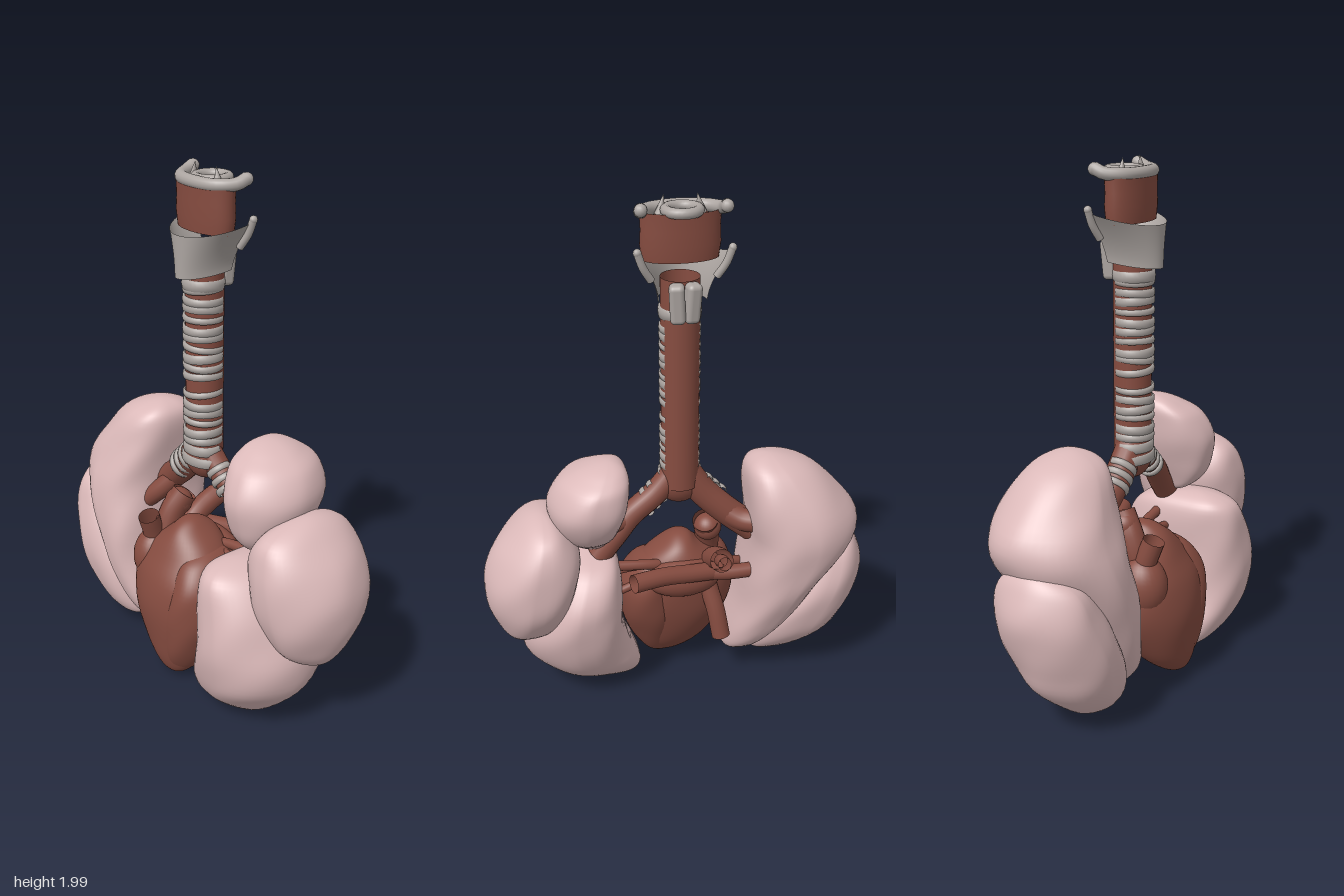
import * as THREE from 'three';
import { mergeVertices } from 'three/addons/utils/BufferGeometryUtils.js';
import { RoundedBoxGeometry } from 'three/addons/geometries/RoundedBoxGeometry.js';

const V = (x, y, z) => new THREE.Vector3(x, y, z);
const mat = (name, color) => {
  const m = new THREE.MeshStandardMaterial({ color, side: THREE.DoubleSide });
  m.name = name;
  return m;
};

// Smooth closed body through rows of [y, xMin, xMax, zMin, zMax], bottom to top.
// Squared half widths are interpolated so that the ends come out round.
// flatSide (+1 or -1) is the x side with a flatter face; the other side is more pointed.
function blob(rows, flatSide = 0, bump = 0.02) {
  const centre = new THREE.CatmullRomCurve3(rows.map(([y, a, b, c, d]) => V((a + b) / 2, y, (c + d) / 2)), false, 'catmullrom');
  const size = new THREE.CatmullRomCurve3(rows.map(([, a, b, c, d]) => V(((b - a) / 2) ** 2, 0, ((d - c) / 2) ** 2)), false, 'catmullrom');
  const n = 44, m = 48, pos = [], idx = [];
  const curve = (v, power) => Math.sign(v) * Math.abs(v) ** (2 / power);
  for (let i = 0; i <= n; i++) {
    const t = (1 - Math.cos((Math.PI * i) / n)) / 2;
    const c = centre.getPoint(t), s = size.getPoint(t);
    const end = i === 0 || i === n;
    const hx = end ? 0 : Math.sqrt(Math.max(s.x, 0)), hz = end ? 0 : Math.sqrt(Math.max(s.z, 0));
    for (let j = 0; j < m; j++) {
      const a = (j / m) * Math.PI * 2;
      const k = 1 + bump * Math.sin(3 * a + c.y * 9) * Math.sin(c.y * 14 + 2 * a);
      const power = 2.05 + flatSide * Math.sign(Math.cos(a)) * (Math.cos(a) * flatSide > 0 ? 0.95 : 0.22);
      pos.push(c.x + hx * k * curve(Math.cos(a), power), c.y, c.z + hz * k * curve(Math.sin(a), power));
      if (i < n) {
        const p = i * m + j, q = i * m + ((j + 1) % m);
        idx.push(p, p + m, q, q, p + m, q + m);
      }
    }
  }
  let g = new THREE.BufferGeometry();
  g.setAttribute('position', new THREE.Float32BufferAttribute(pos, 3));
  g.setIndex(idx);
  g = mergeVertices(g, 1e-5);
  g.computeVertexNormals();
  return g;
}

const tube = (points, r) =>
  new THREE.TubeGeometry(new THREE.CatmullRomCurve3(points.map((p) => V(...p))), 28, r, 16, false);

// Raised band, open at the back, with a soft edge.
function band(r, h, half = 2.3) {
  const p = [[r - 0.006, -h], [r + 0.002, -h * 0.88], [r + 0.004, 0], [r + 0.002, h * 0.88], [r - 0.006, h]];
  return new THREE.LatheGeometry(p.map(([x, y]) => new THREE.Vector2(x, y)), 28, -half, half * 2);
}

export function createModel() {
  const model = new THREE.Group();
  const pink = mat('lung pink', 0xdbb9b9);
  const flesh = mat('muscle brown', 0x864c40);
  const gristle = mat('cartilage grey', 0xaca5a1);
  const add = (name, geo, material, parent = model) => {
    const mesh = new THREE.Mesh(geo, material);
    mesh.name = name;
    parent.add(mesh);
    return mesh;
  };

  // Right lung: an inner upper lobe and an outer lower lobe
  add('rightUpperLobe', blob([
    [0.07, -0.28, -0.28, 0.05, 0.05], [0.1, -0.35, -0.2, -0.04, 0.12], [0.2, -0.41, -0.215, -0.14, 0.18],
    [0.35, -0.5, -0.25, -0.22, 0.21], [0.5, -0.59, -0.265, -0.27, 0.22], [0.65, -0.69, -0.28, -0.295, 0.2],
    [0.75, -0.7, -0.27, -0.29, 0.17], [0.85, -0.63, -0.26, -0.26, 0.13], [0.95, -0.53, -0.26, -0.2, 0.08],
    [1.01, -0.35, -0.35, -0.06, -0.06]], 1), pink);
  add('rightLowerLobe', blob([
    [0.04, -0.4, -0.4, 0.06, 0.06], [0.08, -0.54, -0.31, -0.04, 0.15], [0.2, -0.67, -0.33, -0.15, 0.2],
    [0.3, -0.71, -0.37, -0.195, 0.215], [0.4, -0.74, -0.42, -0.215, 0.21], [0.5, -0.755, -0.47, -0.21, 0.19],
    [0.6, -0.725, -0.54, -0.18, 0.15], [0.67, -0.65, -0.65, -0.02, -0.02]], 1), pink);

  // Left lung: upper, outer and lower lobes
  add('leftUpperLobe', blob([
    [0.65, 0.32, 0.32, 0, 0], [0.7, 0.27, 0.43, -0.1, 0.1], [0.78, 0.24, 0.48, -0.2, 0.14],
    [0.88, 0.21, 0.5, -0.25, 0.15], [0.97, 0.2, 0.46, -0.24, 0.11], [1.02, 0.205, 0.39, -0.19, 0.04],
    [1.055, 0.27, 0.27, -0.08, -0.08]], -1), pink);
  add('leftOuterLobe', blob([
    [0.305, 0.63, 0.63, -0.03, -0.03], [0.34, 0.54, 0.69, -0.13, 0.08], [0.4, 0.48, 0.72, -0.2, 0.14],
    [0.5, 0.43, 0.75, -0.255, 0.18], [0.6, 0.4, 0.75, -0.27, 0.19], [0.7, 0.39, 0.71, -0.26, 0.185],
    [0.79, 0.43, 0.63, -0.22, 0.15], [0.85, 0.52, 0.52, -0.05, -0.05]], -1), pink);
  add('leftLowerLobe', blob([
    [0.005, 0.29, 0.29, 0.08, 0.08], [0.04, 0.14, 0.46, -0.03, 0.19], [0.12, 0.155, 0.55, -0.12, 0.25],
    [0.2, 0.19, 0.61, -0.17, 0.28], [0.3, 0.215, 0.625, -0.21, 0.295], [0.4, 0.225, 0.6, -0.23, 0.295],
    [0.5, 0.225, 0.56, -0.22, 0.285], [0.6, 0.235, 0.48, -0.15, 0.262], [0.655, 0.33, 0.33, 0.1, 0.1]], -1), pink);

  // Heart: a main body, a low ridge for the second chamber and two atria
  const heart = new THREE.Group();
  heart.name = 'heart';
  model.add(heart);
  add('heartBody', blob([
    [0.01, 0.03, 0.03, 0.17, 0.17], [0.06, -0.08, 0.11, 0.07, 0.23], [0.15, -0.165, 0.16, 0, 0.25],
    [0.3, -0.24, 0.205, -0.06, 0.265], [0.42, -0.25, 0.205, -0.08, 0.245], [0.51, -0.21, 0.15, -0.08, 0.2],
    [0.59, -0.11, 0.07, -0.05, 0.15], [0.645, -0.03, -0.03, 0.05, 0.05]], 0, 0.01), flesh, heart);
  add('leftVentricle', blob([
    [0.02, 0.04, 0.04, 0.15, 0.15], [0.07, -0.02, 0.12, 0.06, 0.22], [0.17, -0.03, 0.175, 0, 0.245],
    [0.3, -0.02, 0.215, -0.06, 0.25], [0.42, 0.0, 0.22, -0.08, 0.23], [0.51, 0.02, 0.17, -0.06, 0.18],
    [0.56, 0.08, 0.08, 0.04, 0.04]]), flesh, heart);
  for (const [name, size, at] of [
    ['rightAtrium', [0.09, 0.12, 0.1], [-0.16, 0.44, 0.12]],
    ['leftAtrium', [0.15, 0.08, 0.075], [-0.02, 0.49, -0.05]],
    ['vesselKnob', [0.055, 0.055, 0.055], [-0.135, 0.66, 0.03]],
  ]) {
    const part = add(name, new THREE.SphereGeometry(1, 28, 20), flesh, heart);
    part.scale.set(...size);
    part.position.set(...at);
  }

  // Great vessels and lung vessels
  const vessels = [
    ['aorta', 0.05, [-0.1, 0.42, 0.1], [-0.14, 0.53, 0.09], [-0.14, 0.62, 0.06], [-0.12, 0.7, 0.01]],
    ['frontVessel', 0.042, [-0.15, 0.4, 0.11], [-0.16, 0.52, 0.13], [-0.152, 0.63, 0.165]],
    ['upperVein', 0.045, [-0.13, 0.48, 0.02], [-0.14, 0.56, -0.05], [-0.145, 0.6, -0.12], [-0.145, 0.62, -0.17]],
    ['upperVeinEnd', 0.026, [-0.145, 0.61, -0.15], [-0.143, 0.63, -0.19], [-0.142, 0.64, -0.225]],
    ['lowerVein', 0.037, [-0.12, 0.44, -0.05], [-0.145, 0.34, -0.08], [-0.165, 0.22, -0.1]],
    ['lungArtery', 0.036, [-0.16, 0.52, -0.08], [-0.04, 0.54, -0.11], [0.08, 0.56, -0.14], [0.2, 0.57, -0.18]],
    ['leftUpperVein', 0.02, [0, 0.52, 0], [0.1, 0.55, -0.03], [0.26, 0.57, -0.04]],
    ['leftMiddleVein', 0.016, [0, 0.5, 0], [0.12, 0.53, 0], [0.27, 0.51, 0.01]],
    ['leftLowerVein', 0.016, [0, 0.5, -0.05], [0.12, 0.52, -0.08], [0.25, 0.49, -0.1]],
    ['rightUpperArtery', 0.03, [-0.08, 0.53, -0.09], [-0.18, 0.52, -0.1], [-0.29, 0.52, -0.1]],
    ['rightMiddleVein', 0.02, [-0.1, 0.5, 0], [-0.2, 0.5, 0.01], [-0.29, 0.48, 0.03]],
  ];
  for (const [name, r, ...pts] of vessels) add(name, tube(pts, r), flesh, heart);

  // Windpipe and its two branches
  const windpipe = new THREE.Group();
  windpipe.name = 'windpipe';
  windpipe.position.x = -0.015;
  model.add(windpipe);
  const wall = add('windpipeWall', new THREE.CylinderGeometry(0.071, 0.071, 0.82, 32, 1, true), flesh, windpipe);
  wall.position.set(0, 1.3, -0.006);
  const fork = add('windpipeFork', new THREE.SphereGeometry(1, 28, 18), flesh, windpipe);
  fork.scale.set(0.09, 0.09, 0.065);
  fork.position.y = 0.9;
  const branches = [
    ['rightBronchus', 0.056, [-0.03, 0.95, 0], [-0.1, 0.85, -0.01], [-0.18, 0.77, -0.02], [-0.3, 0.67, -0.03]],
    ['leftBronchus', 0.047, [0.0, 0.95, 0], [0.08, 0.86, -0.01], [0.18, 0.78, -0.02], [0.24, 0.71, -0.03], [0.31, 0.62, -0.03]],
    ['rightBranch', 0.045, [-0.17, 0.77, -0.02], [-0.25, 0.73, -0.06], [-0.33, 0.73, -0.1]],
    ['rightFrontBranch', 0.04, [-0.2, 0.74, -0.02], [-0.26, 0.66, 0.03], [-0.32, 0.6, 0.06]],
    ['leftBranch', 0.032, [0.17, 0.78, -0.02], [0.25, 0.76, -0.05], [0.33, 0.77, -0.07]],
  ];
  for (const [name, r, ...pts] of branches) add(name, tube(pts, r), flesh);

  // Cartilage rings, slightly uneven, with one wider gap
  for (let i = 0; i < 17; i++) {
    if (i === 6) continue;
    const ring = add('windpipeRing', band(0.073, 0.0145 + 0.003 * Math.sin(i * 2.3), 2.15), gristle, windpipe);
    ring.position.y = 0.98 + i * 0.0365 + 0.004 * Math.sin(i * 4.1);
    ring.rotation.set(0.06 * Math.sin(i * 1.7), 0, 0.09 * Math.sin(i * 2.9));
  }
  for (const [y, r] of [[0.94, 0.08], [0.895, 0.095]]) {
    const ring = add('forkRing', band(r, 0.019, 1.8), gristle, windpipe);
    ring.position.y = y;
    ring.scale.z = 0.07 / r;
  }
  for (const [s, r] of [[-1, 0.058], [1, 0.049]]) {
    for (let i = 0; i < 3; i++) {
      const ring = add('bronchusRing', band(r, 0.0125, 1.9), gristle);
      ring.position.set(s * (0.085 + i * 0.027) - 0.01, 0.865 - i * 0.027, -0.01);
      ring.rotation.z = s * 0.85;
    }
  }

  // Voice box: two flared plates meeting in front, open at the back
  const shield = new THREE.PlaneGeometry(2, 1, 40, 12);
  const p = shield.attributes.position;
  for (let i = 0; i < p.count; i++) {
    const u = p.getX(i), v = p.getY(i) + 0.5, a = (u * Math.PI) / 2;
    const top = 1.77 + 0.045 * u * u, low = 1.615 + 0.02 * u * u;
    const back = -0.06 - 0.03 * v;
    p.setXYZ(i, (0.085 + 0.075 * v ** 1.6) * Math.sin(a), low + (top - low) * v, back + (0.115 - back) * Math.cos(a));
  }
  shield.computeVertexNormals();
  add('voiceBoxShield', shield, gristle, windpipe);
  for (const s of [-1, 1]) {
    add('shieldHorn', tube([[s * 0.115, 1.72, -0.07], [s * 0.145, 1.77, -0.082], [s * 0.165, 1.825, -0.088]], 0.014), gristle, windpipe);
    const hornTip = add('shieldHornTip', new THREE.SphereGeometry(0.015, 12, 8), gristle, windpipe);
    hornTip.position.set(s * 0.165, 1.825, -0.088);
    const plate = add('backPlate', new RoundedBoxGeometry(0.055, 0.145, 0.055, 4, 0.018), gristle, windpipe);
    plate.position.set(s * 0.027, 1.635, -0.085);
    plate.rotation.set(-0.08, s * -0.2 + Math.PI, s * 0.06);
  }
  add('collarRing', band(0.075, 0.02, 2.8), gristle, windpipe).position.y = 1.583;

  // Throat wall, wide and flat
  const throat = add('throatWall', new THREE.LatheGeometry(
    [[0.135, 1.775], [0.143, 1.83], [0.14, 1.88], [0.143, 1.945]].map(([x, y]) => new THREE.Vector2(x, y)), 40), flesh, windpipe);
  throat.scale.z = 0.5;
  throat.position.z = -0.01;

  // Tongue bone and the small cartilages around the opening
  add('tongueBone', tube([[-0.148, 1.965, -0.07], [-0.142, 1.95, -0.035], [-0.1, 1.945, 0.02], [0, 1.945, 0.044],
    [0.1, 1.945, 0.02], [0.142, 1.95, -0.035], [0.148, 1.965, -0.07]], 0.023), gristle, windpipe);
  const rim = add('openingRim', new THREE.TorusGeometry(0.057, 0.019, 12, 28), gristle, windpipe);
  rim.rotation.x = Math.PI / 2;
  rim.position.set(0, 1.95, -0.038);
  add('openingWall', new THREE.CylinderGeometry(0.055, 0.055, 0.17, 24, 1, true), flesh, windpipe).position.set(0, 1.86, -0.022);
  for (const s of [-1, 1]) {
    const end = add('tongueBoneTip', new THREE.SphereGeometry(0.023, 14, 10), gristle, windpipe);
    end.position.set(s * 0.148, 1.963, -0.07);
    const tip = add('smallHorn', new THREE.ConeGeometry(0.02, 0.07, 12), gristle, windpipe);
    tip.position.set(s * 0.065, 1.965, -0.01);
    tip.rotation.z = s * 0.2;
  }
  return model;
}
